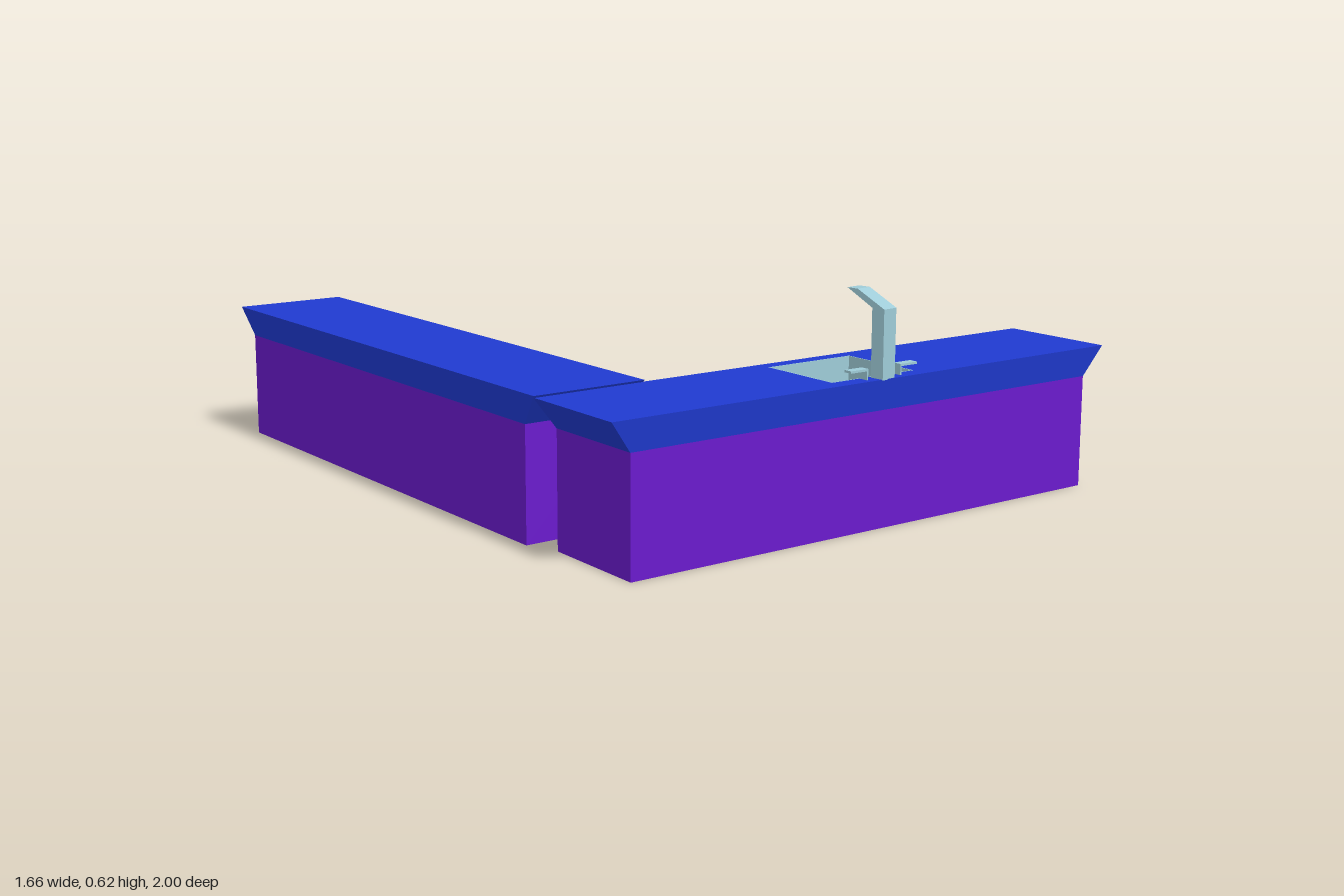
import * as THREE from 'three';

const mat = (color) => new THREE.MeshStandardMaterial({ color, flatShading: true });
const blue = mat(0x1f3ad0), purple = mat(0x6a1acc), steel = mat(0x9ecbd7);

function add(parent, name, geometry, material, x = 0, y = 0, z = 0) {
  const mesh = new THREE.Mesh(geometry, material);
  mesh.name = name;
  mesh.position.set(x, y, z);
  parent.add(mesh);
  return mesh;
}

// Corners of a rectangle centred on (cx, cz); z becomes -y of the shape
function rect(cx, cz, w, d) {
  return [[-1, -1], [1, -1], [1, 1], [-1, 1]].map(
    ([i, j]) => new THREE.Vector2(cx + i * w / 2, -cz + j * d / 2));
}

// Flat slab standing on y = 0, with an optional rectangular hole
function slab(outer, hole, height) {
  const shape = new THREE.Shape(outer);
  if (hole) shape.holes.push(new THREE.Path(hole));
  return new THREE.ExtrudeGeometry(shape, { depth: height, bevelEnabled: false }).rotateX(-Math.PI / 2);
}

// Worktop whose outer edge slopes inwards to the cabinet below
function worktop(w, d, height, insetX, insetZ, hole) {
  const geometry = slab(rect(0, 0, w, d), hole, height);
  const p = geometry.attributes.position;
  for (let i = 0; i < p.count; i++) {
    const x = p.getX(i), z = p.getZ(i);
    const onEdge = Math.abs(x) > w / 2 - 1e-4 && Math.abs(z) > d / 2 - 1e-4;
    if (p.getY(i) < 1e-4 && onEdge) {
      p.setX(i, x - Math.sign(x) * insetX);
      p.setZ(i, z - Math.sign(z) * insetZ);
    }
  }
  geometry.computeVertexNormals();
  return geometry;
}

// Side profile given as [x, y] points, extruded evenly about z = 0
function profile(points, depth) {
  const shape = new THREE.Shape(points.map(([x, y]) => new THREE.Vector2(x, y)));
  return new THREE.ExtrudeGeometry(shape, { depth, bevelEnabled: false }).translate(0, 0, -depth / 2);
}

export function createModel() {
  const model = new THREE.Group();
  model.name = 'cornerCounter';

  // Front counter, turned very slightly
  const front = new THREE.Group();
  front.name = 'frontCounter';
  front.position.z = 0.822;
  front.rotation.y = -0.012;
  model.add(front);
  const hole = rect(0.015, -0.003, 0.28, 0.25);
  add(front, 'frontCabinet', new THREE.BoxGeometry(1.535, 0.312, 0.312), purple, 0, 0.156, 0);
  add(front, 'frontWorktop', worktop(1.656, 0.335, 0.082, 0.06, 0.0115, hole), blue, 0, 0.312, 0);

  // Sink: thin walls lining the hole, and a floor
  add(front, 'sinkWalls', slab(hole, rect(0.015, -0.003, 0.274, 0.244), 0.08), steel, 0, 0.314, 0);
  add(front, 'sinkFloor', new THREE.BoxGeometry(0.276, 0.006, 0.246), steel, 0.015, 0.32, -0.003);

  // Tap: upright column bending into a slanted spout
  const tap = add(front, 'tap', profile([
    [-0.02, 0], [0.02, 0], [0.02, 0.182], [0.105, 0.225], [0.07, 0.225], [-0.02, 0.182],
  ], 0.046), steel, 0.024, 0.392, 0.147);
  tap.rotation.y = Math.PI / 2 + 0.11;

  // Pair of thin handles bent outwards
  for (const side of [-1, 1]) {
    const handle = add(front, side < 0 ? 'rightHandle' : 'leftHandle', profile([
      [0, 0], [0.004, 0], [0.004, 0.025], [0.058, 0.025], [0.058, 0.031], [0, 0.031],
    ], 0.025), steel, side < 0 ? -0.028 : 0.082, 0.392, 0.137);
    if (side < 0) handle.rotation.y = Math.PI;
  }

  // Wing running back from the right end
  const wing = new THREE.Group();
  wing.name = 'wingCounter';
  wing.position.set(-0.665, 0.01, -0.172);
  model.add(wing);
  add(wing, 'wingCabinet', new THREE.BoxGeometry(0.306, 0.308, 1.536), purple, 0, 0.154, 0);
  add(wing, 'wingWorktop', worktop(0.332, 1.656, 0.082, 0.013, 0.06), blue, 0, 0.308, 0);

  return model;
}
